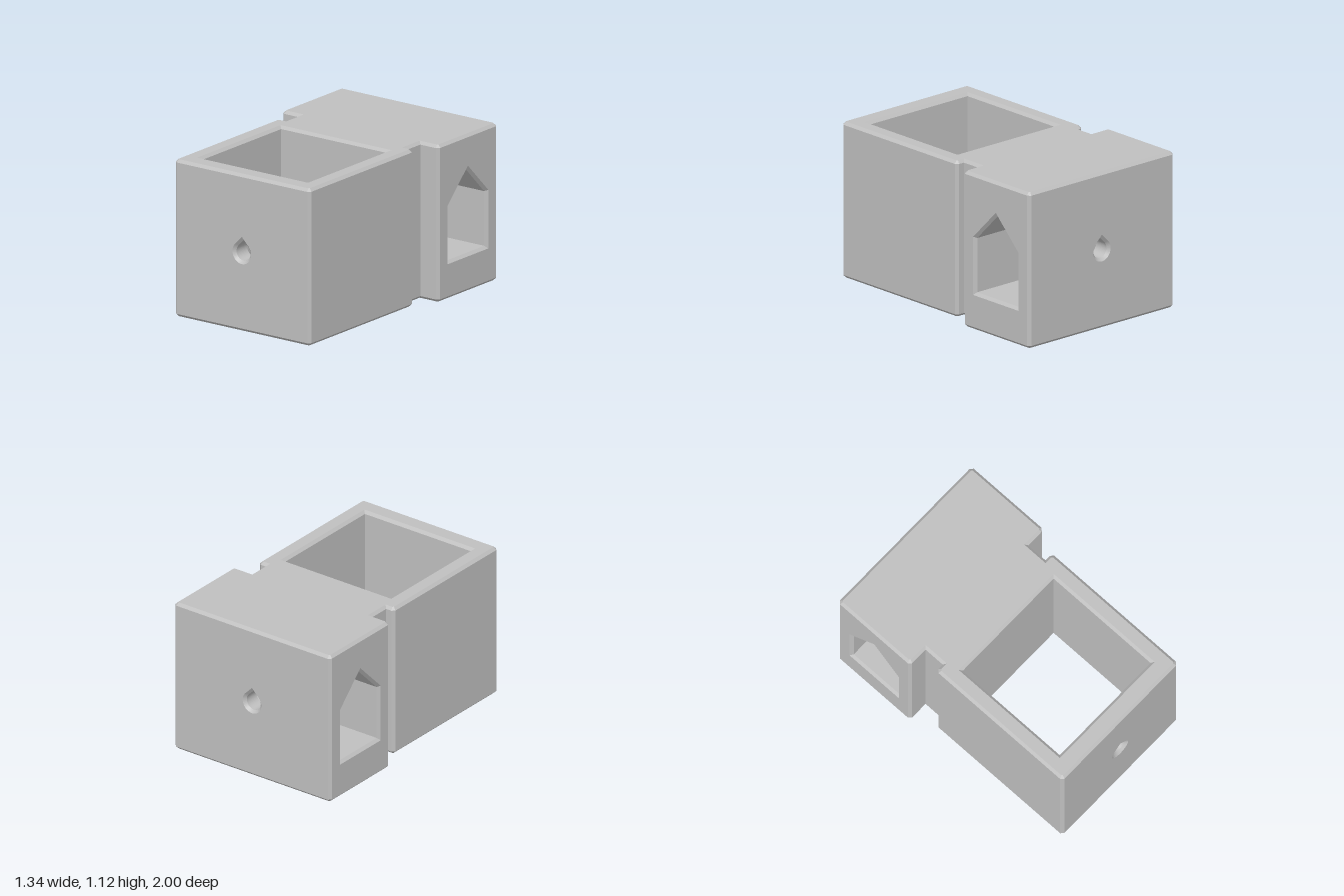
import * as THREE from 'three';
import { mergeGeometries } from 'three/addons/utils/BufferGeometryUtils.js';

const H = 1.12, B = 0.02; // height and chamfer
// 2D (u, v) plus depth w mapped to 3D, all right-handed
const alongY = (u, v, w) => [v, w, u];
const alongZ = (u, v, w) => [u, v, w];
const alongX = (u, v, w) => [w, u, v];

function fromTriangles(positions) {
  const g = new THREE.BufferGeometry();
  g.setAttribute('position', new THREE.Float32BufferAttribute(positions, 3));
  g.computeVertexNormals();
  return g;
}

// Band between two outlines; skipped edges are closed by plates instead.
function band(map, ringA, wA, ringB, wB, skip = []) {
  const out = [];
  ringA.forEach((p, i) => {
    if (skip.includes(i)) return;
    const j = (i + 1) % ringA.length;
    const a = map(...p, wA), b = map(...ringA[j], wA);
    const c = map(...ringB[j], wB), d = map(...ringB[i], wB);
    out.push(...a, ...b, ...c, ...a, ...c, ...d);
  });
  return fromTriangles(out);
}

// Flat face with an optional hole, facing +w or -w.
function plate(map, outline, w, facing, hole) {
  const toPoints = (ring) => ring.map((p) => new THREE.Vector2(...p));
  const shape = new THREE.Shape(toPoints(outline));
  if (hole) shape.holes.push(new THREE.Path(toPoints(hole)));
  const flat = new THREE.ShapeGeometry(shape).toNonIndexed().getAttribute('position');
  const out = [];
  for (let i = 0; i < flat.count; i += 3) {
    for (const k of facing > 0 ? [0, 1, 2] : [0, 2, 1]) {
      out.push(...map(flat.getX(i + k), flat.getY(i + k), w));
    }
  }
  return fromTriangles(out);
}

const rect = (u0, u1, v0, v1) => [[u0, v0], [u1, v0], [u1, v1], [u0, v1]];

// Body plan as (z, x), inset by d, with chamfered outer corners
function plan(d) {
  const c = B - 0.586 * d;
  const f = 0.58 - d, n = 0.515 - d, r = 0.67 - d;
  const half = [
    [1 - d, f - c], [1 - d - c, f], [-0.17 + d + c, f], [-0.17 + d, f - c],
    [-0.17 + d, n], [-0.33 - d, n],
    [-0.33 - d, r - c], [-0.33 - d - c, r], [-1 + d + c, r], [-1 + d, r - c],
  ];
  return [...half, ...half.map(([z, x]) => [z, -x]).reverse()];
}

// Vertical cavity as (z, x), grown by d
const cavityPlan = (d) => [
  [0.86 + d, -0.455 - d], [0.86 + d, 0.455 + d],
  [-0.04 - d, 0.455 + d], [-0.04 - d, -0.455 - d],
];

// House-shaped tunnel section as (y, z), grown by d
function tunnelSection(d) {
  const mid = -0.662, w = 0.209 + d, base = 0.27 - d, eave = 0.66 + 0.414 * d;
  return [[base, mid - w], [eave, mid - w], [eave + w, mid], [eave, mid + w], [base, mid + w]];
}

// Teardrop bolt hole as (x, y)
function teardrop(r) {
  const ring = [[0, 0.56 + r * Math.SQRT2]];
  for (let i = 0; i <= 36; i++) {
    const a = Math.PI * (0.75 + (1.5 * i) / 36);
    ring.push([r * Math.cos(a), 0.56 + r * Math.sin(a)]);
  }
  return ring;
}

export function createModel() {
  const model = new THREE.Group();
  const grey = new THREE.MeshStandardMaterial({ color: 0xbfbfbf });
  grey.name = 'light grey';
  const add = (name, parts) => {
    const mesh = new THREE.Mesh(mergeGeometries(parts), grey);
    mesh.name = name;
    model.add(mesh);
  };
  const full = plan(0), inset = plan(B);
  const cavity = cavityPlan(0), cavityRim = cavityPlan(B);
  const tunnel = tunnelSection(0), tunnelRim = tunnelSection(B);
  const bolt = teardrop(0.06), boltRim = teardrop(0.08);
  const tunnelBack = tunnel[0][1];

  // Top, bottom and outer walls
  add('outerBody', [
    plate(alongY, inset, H, 1, cavityRim),
    plate(alongY, inset, 0, -1, cavityRim),
    band(alongY, inset, 0, full, B),
    band(alongY, full, B, full, H - B, [7, 9, 11, 19]),
    band(alongY, full, H - B, inset, H),
    plate(alongZ, rect(-0.56, 0.56, B, H - B), 1, 1, boltRim),
    plate(alongZ, rect(-0.65, 0.65, B, H - B), -1, -1, boltRim),
    ...[1, -1].map((s) => plate(alongX, rect(B, H - B, -0.98, -0.35), s * 0.67, s, tunnelRim)),
  ]);

  // Square shaft open at top and bottom
  add('verticalCavity', [
    band(alongY, cavityRim, H, cavity, H - B),
    band(alongY, cavity, H - B, cavity, B, [0]),
    band(alongY, cavity, B, cavityRim, 0),
    plate(alongZ, rect(-0.455, 0.455, B, H - B), 0.86, -1, bolt),
  ]);

  // Pointed opening running side to side
  add('sideTunnel', [
    band(alongX, tunnelRim, 0.67, tunnel, 0.65),
    band(alongX, tunnel, 0.65, tunnel, -0.65, [0]),
    band(alongX, tunnel, -0.65, tunnelRim, -0.67),
    plate(alongZ, rect(-0.65, 0.65, tunnel[0][0], tunnel[1][0]), tunnelBack, 1, bolt),
  ]);

  // Countersunk bolt holes through the end walls
  add('frontBoltHole', [
    band(alongZ, boltRim, 1, bolt, 0.98),
    band(alongZ, bolt, 0.98, bolt, 0.86),
  ]);
  add('backBoltHole', [
    band(alongZ, bolt, tunnelBack, bolt, -0.98),
    band(alongZ, bolt, -0.98, boltRim, -1),
  ]);
  return model;
}
